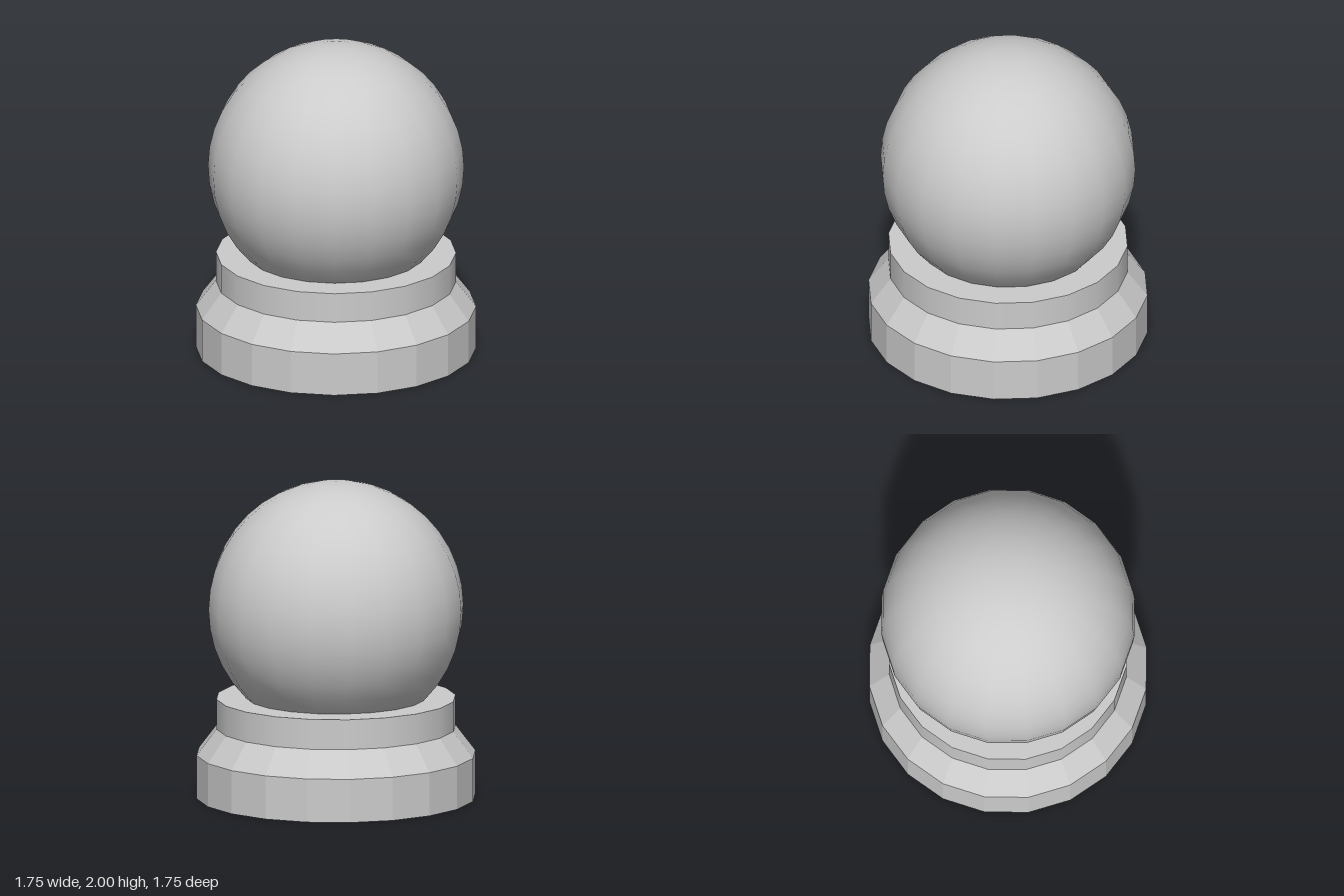
import * as THREE from 'three';

const SIDES = 20;

export function createModel() {
  const group = new THREE.Group();
  const smooth = new THREE.MeshStandardMaterial({ color: 0xcccccc });
  const faceted = new THREE.MeshStandardMaterial({ color: 0xcccccc, flatShading: true });

  const add = (name, geometry, material, y) => {
    const mesh = new THREE.Mesh(geometry, material);
    mesh.name = name;
    mesh.position.y = y;
    group.add(mesh);
  };

  // Faceted foot with a sloped shoulder, closed top and bottom
  const profile = [[0, 0], [0.875, 0], [0.875, 0.275], [0.75, 0.44], [0, 0.44]];
  const foot = new THREE.LatheGeometry(profile.map(([x, y]) => new THREE.Vector2(x, y)), SIDES);
  add('base', foot, faceted, 0);

  // Smooth collar holding the globe
  add('collar', new THREE.CylinderGeometry(0.75, 0.75, 0.19, SIDES), smooth, 0.535);

  // Globe sunk into the collar
  add('globe', new THREE.SphereGeometry(0.8, SIDES, SIDES), smooth, 1.2);

  return group;
}
